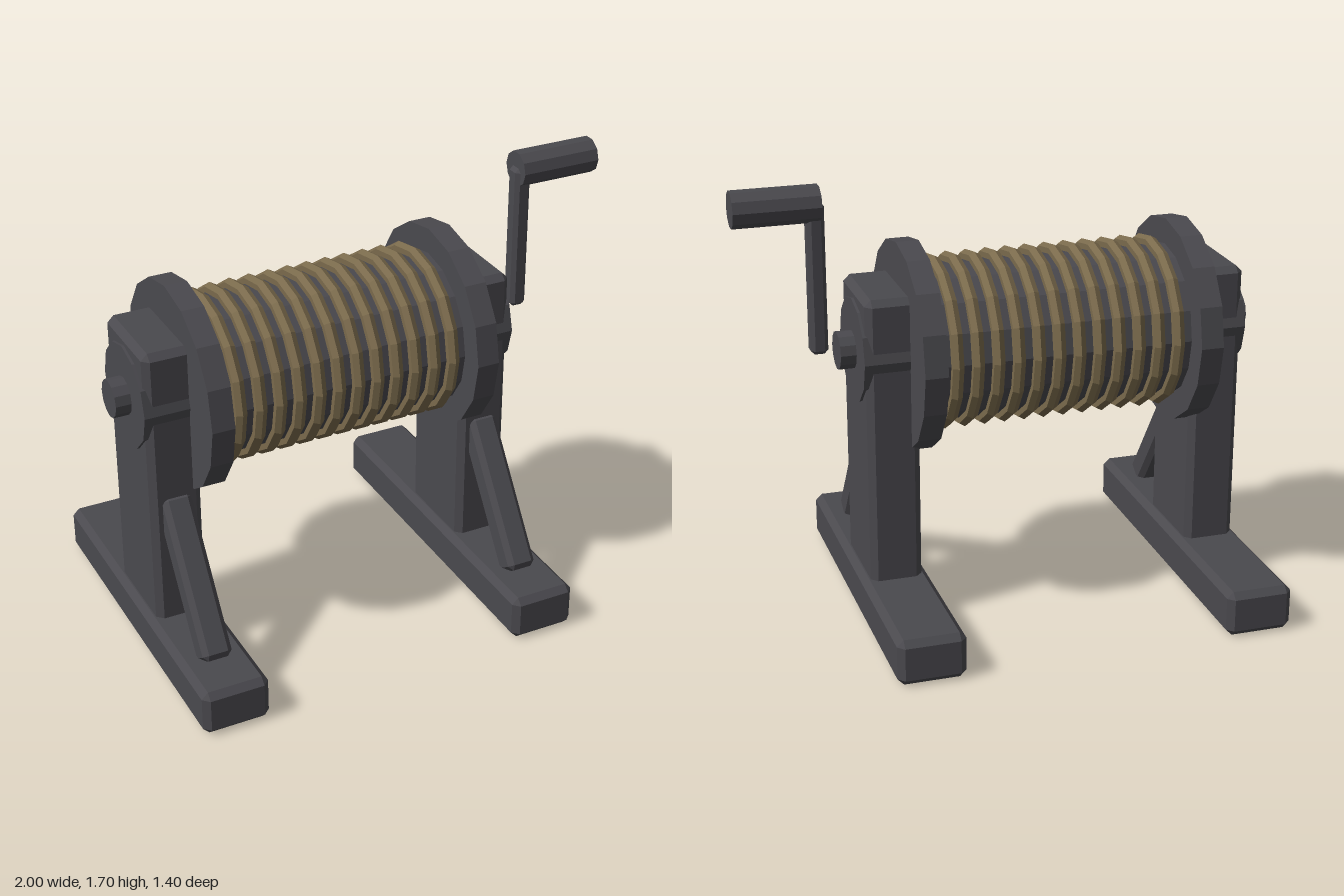
import * as THREE from 'three';
import { ConvexGeometry } from 'three/addons/geometries/ConvexGeometry.js';

const MID = -0.1875;   // centre of the frame along x
const AXIS_Y = 1.06;   // height of the drum axis

// Box with all edges cut at 45 degrees
function chamferBox(w, h, d, b) {
  const points = [];
  for (const x of [-w / 2, w / 2]) for (const y of [-h / 2, h / 2]) for (const z of [-d / 2, d / 2]) {
    const ix = x - Math.sign(x) * b, iy = y - Math.sign(y) * b, iz = z - Math.sign(z) * b;
    points.push(new THREE.Vector3(x, iy, iz), new THREE.Vector3(ix, y, iz), new THREE.Vector3(ix, iy, z));
  }
  return new ConvexGeometry(points);
}

// Cylinder lying along x
function rod(radius, x0, x1, sides) {
  return new THREE.CylinderGeometry(radius, radius, x1 - x0, sides)
    .rotateZ(Math.PI / 2).translate((x0 + x1) / 2, 0, 0);
}

export function createModel() {
  const model = new THREE.Group();
  model.name = 'winch';
  const iron = new THREE.MeshStandardMaterial({ color: 0x4a494e });
  iron.name = 'darkIron';
  iron.flatShading = true;
  const hemp = new THREE.MeshStandardMaterial({ color: 0x7a6a4c });
  hemp.name = 'ropeBrown';
  hemp.flatShading = true;

  function add(parent, name, geometry, material, x, y, z) {
    const mesh = new THREE.Mesh(geometry, material);
    mesh.name = name;
    mesh.position.set(x, y, z);
    parent.add(mesh);
    return mesh;
  }

  // Two side stands: foot, post, bearing and front brace
  for (const side of [-1, 1]) {
    const stand = new THREE.Group();
    stand.name = side < 0 ? 'rightStand' : 'leftStand';
    stand.position.x = MID + side * 0.6425;
    model.add(stand);
    add(stand, 'foot', chamferBox(0.26, 0.18, 1.4, 0.025), iron, 0, 0.09, 0);
    add(stand, 'post', chamferBox(0.2, 1.16, 0.38, 0.025), iron, 0, 0.72, 0);
    add(stand, 'bearing', rod(0.2, -0.11, 0.11, 12), iron, 0, AXIS_Y, 0);
    const brace = add(stand, 'brace', chamferBox(0.115, 0.62, 0.11, 0.02), iron, 0, 0.429, 0.322);
    brace.rotation.x = -THREE.MathUtils.degToRad(35);
  }

  // Drum, its two flanges and the axle
  const drum = new THREE.Group();
  drum.name = 'drumAssembly';
  drum.position.y = AXIS_Y;
  model.add(drum);
  add(drum, 'drum', rod(0.3, -0.5, 0.5, 16), iron, MID, 0, 0);
  for (const side of [-1, 1]) {
    add(drum, 'flange', rod(0.4, -0.044, 0.044, 16), iron, MID + side * 0.534, 0, 0);
  }
  add(drum, 'axle', rod(0.073, -1, 0.625, 12), iron, 0, 0, 0);

  // Rope turns
  const turn = new THREE.TorusGeometry(0.31, 0.025, 6, 16).rotateY(Math.PI / 2);
  for (let i = 0; i < 12; i++) {
    add(drum, 'ropeTurn', turn, hemp, MID + (i - 5.5) * 0.0785, 0, 0);
  }

  // Crank
  const crank = new THREE.Group();
  crank.name = 'crank';
  model.add(crank);
  add(crank, 'crankArm', chamferBox(0.066, 0.58, 0.07, 0.015), iron, 0.693, 1.35, 0);
  add(crank, 'crankHandle', rod(0.07, 0.675, 1, 10), iron, 0, 1.633, 0);

  return model;
}
